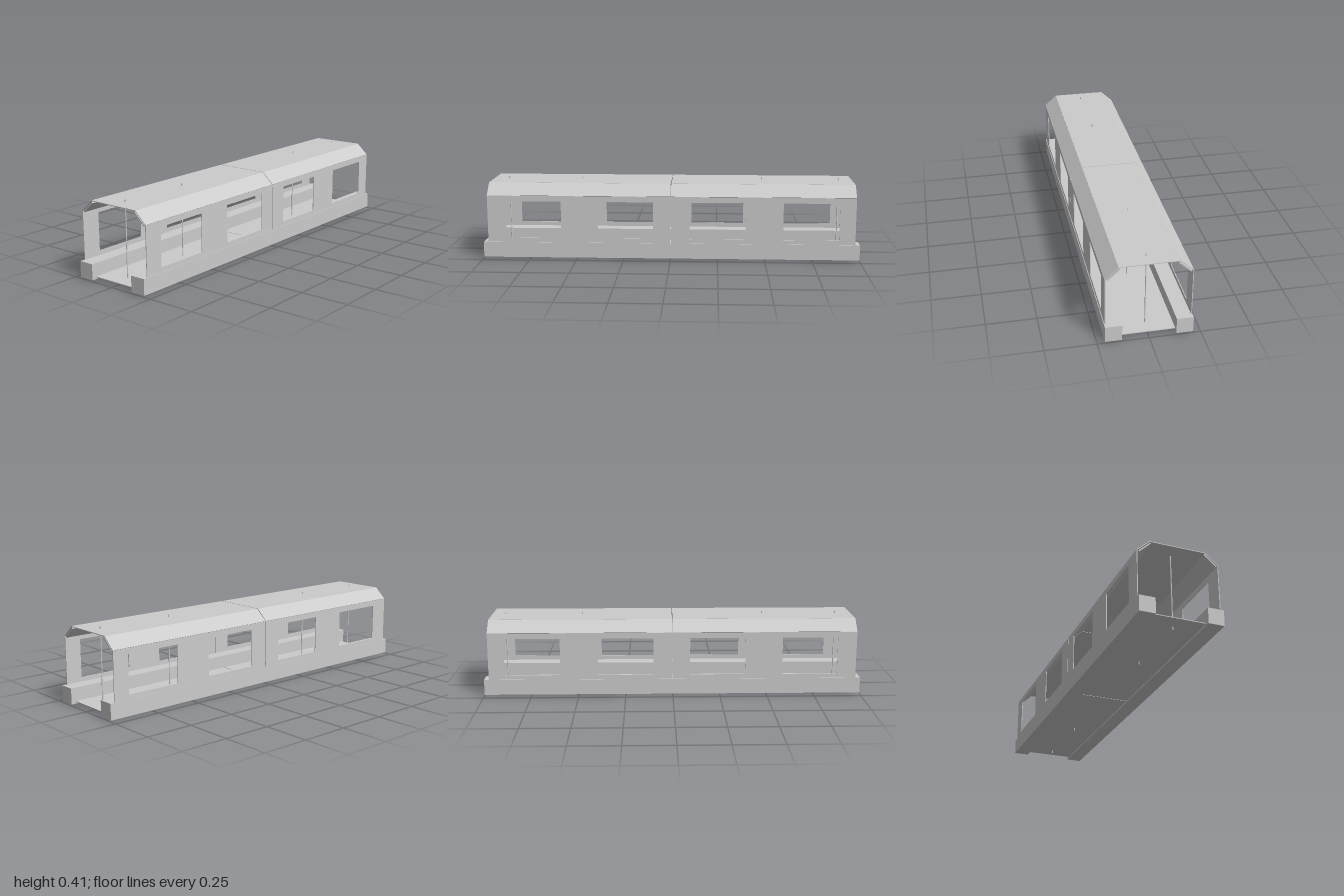
import * as THREE from 'three';

const GAP = 0.002;   // half of the seam between the two car sections
const END = 0.975;   // x where the shell ends
const LEN = END - GAP;
const T = 0.004;     // sheet thickness

export function createModel() {
  const model = new THREE.Group();
  const mat = new THREE.MeshStandardMaterial({ color: 0xcccccc, flatShading: true });

  const add = (parent, name, geo, x, y, z, rotX = 0) => {
    const mesh = new THREE.Mesh(geo, mat);
    mesh.name = name;
    mesh.position.set(x, y, z);
    mesh.rotation.x = rotX;
    parent.add(mesh);
  };

  // Side wall sheet with window openings, drawn in the xy plane
  const wallGeometry = (x0, x1, windows) => {
    const rect = (Type, a, b, c, d) => {
      const p = new Type();
      p.moveTo(a, b).lineTo(c, b).lineTo(c, d).lineTo(a, d).closePath();
      return p;
    };
    const shape = rect(THREE.Shape, x0, 0.016, x1, 0.34);
    for (const [a, b] of windows) shape.holes.push(rect(THREE.Path, a, 0.112, b, 0.31));
    return new THREE.ExtrudeGeometry(shape, { depth: T, bevelEnabled: false });
  };

  // Sloped sheet between two (z, y) points of the cross-section
  const slope = (parent, name, x, [z0, y0], [z1, y1], thick, side) => {
    const geo = new THREE.BoxGeometry(LEN, thick, Math.hypot(z1 - z0, y1 - y0));
    const angle = -Math.atan2(y1 - y0, z1 - z0);
    add(parent, name, geo, x, (y0 + y1) / 2, side * (z0 + z1) / 2, side * angle);
  };

  const sections = [
    { side: -1, windows: [[-0.875, -0.582], [-0.385, -0.092]], poles: [-0.892, -0.49] },
    { side: 1, windows: [[0.102, 0.397], [0.595, 0.89]], poles: [0.487, 0.902] },
  ];

  for (const { side, windows, poles } of sections) {
    const section = new THREE.Group();
    section.name = side < 0 ? 'rightSection' : 'leftSection';
    model.add(section);
    const cx = side * (GAP + END) / 2;

    // Floor and roof sheets
    add(section, 'floor', new THREE.BoxGeometry(LEN, T, 0.41), cx, 0.018, 0);
    add(section, 'roof', new THREE.BoxGeometry(LEN, T, 0.29), cx, 0.398, 0);

    const x0 = side < 0 ? -END : GAP;
    for (const s of [1, -1]) {
      add(section, 'sideWall', wallGeometry(x0, x0 + LEN, windows), 0, 0, s > 0 ? 0.206 : -0.21);
      // Roof shoulder and the inner panel hung beneath it
      slope(section, 'roofShoulder', cx, [0.144, 0.398], [0.208, 0.34], T, s);
      slope(section, 'innerPanel', cx, [0.139, 0.39], [0.199, 0.335], 0.007, s);
      // Long bench box
      add(section, 'bench', new THREE.BoxGeometry(1, 0.082, 0.082), side * 0.5, 0.048, s * 0.172);
    }

    // Grab poles passing through floor and roof
    for (const x of poles)
      add(section, 'grabPole', new THREE.CylinderGeometry(0.003, 0.003, 0.412, 12), x, 0.206, 0);
  }
  return model;
}
